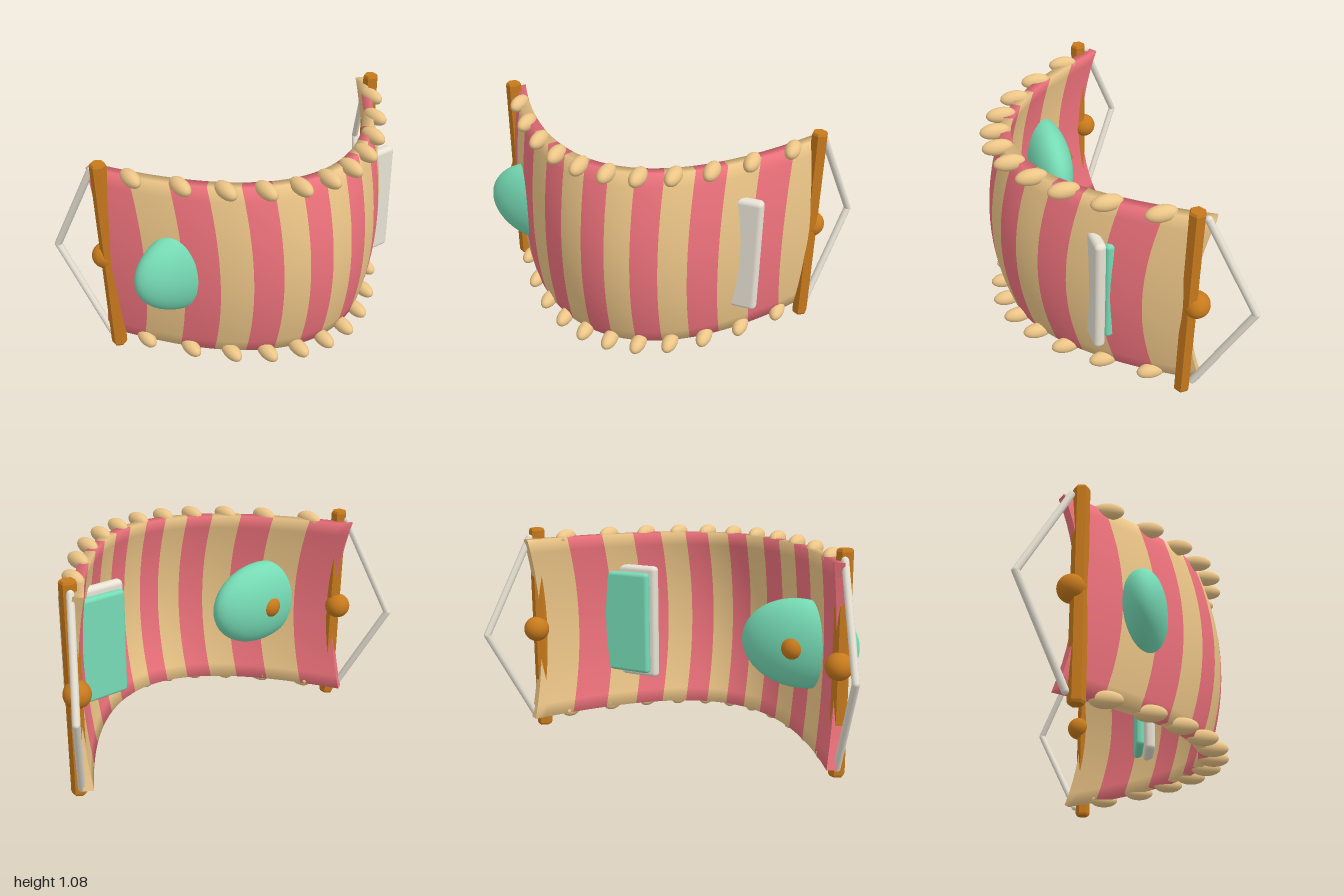
import * as THREE from 'three';
import { RoundedBoxGeometry } from 'three/addons/geometries/RoundedBoxGeometry.js';

const RED = 0xee727c, TAN = 0xecc587, TEAL = 0x76dbb5, WOOD = 0xc87a1c, CREAM = 0xe8e2d4;
const MID = 0.545; // mid height

export function createModel() {
  const model = new THREE.Group();
  const mat = (color, extra = {}) => new THREE.MeshStandardMaterial({ color, ...extra });
  const add = (name, geometry, material, x = 0, y = 0, z = 0) => {
    const mesh = new THREE.Mesh(geometry, material);
    mesh.name = name;
    mesh.position.set(x, y, z);
    model.add(mesh);
    return mesh;
  };
  const wood = mat(WOOD), tan = mat(TAN), teal = mat(TEAL), cream = mat(CREAM);

  // Striped cloth: a thick sheet, parabolic along x and gently bulged in y
  const STRIPES = 14, PER = 4, COLS = STRIPES * PER, ROWS = 14;
  const HALF = 0.84, THICK = 0.025, RING = 2 * (ROWS + 1);
  const positions = [];
  for (let i = 0; i <= COLS; i++) {
    const x = -HALF + (2 * HALF * i) / COLS;
    const len = Math.hypot(2 * x, 1);
    for (let k = 0; k < RING; k++) {
      const front = k <= ROWS;
      const v = -1 + (2 * (front ? k : RING - 1 - k)) / ROWS;
      const offset = (front ? THICK : -THICK) / len;
      positions.push(x + offset * 2 * x, MID + 0.485 * v, 0.46 - x * x - 0.085 * v * v + offset);
    }
  }
  const stripes = [[], []], ends = [];
  const quad = (list, a, b, c, d) => list.push(a, b, c, a, c, d);
  for (let i = 0; i < COLS; i++) {
    const list = stripes[Math.floor(i / PER) % 2];
    for (let k = 0; k < RING; k++) {
      const a = i * RING + k, b = i * RING + ((k + 1) % RING);
      quad(list, a, a + RING, b + RING, b);
    }
  }
  for (let k = 0; k < ROWS; k++) {
    const m = RING - 1 - k, r = COLS * RING;
    quad(ends, k, k + 1, m - 1, m);
    quad(ends, r + k, r + m, r + m - 1, r + k + 1);
  }
  const cloth = new THREE.BufferGeometry();
  cloth.setAttribute('position', new THREE.Float32BufferAttribute(positions, 3));
  cloth.setIndex([...stripes[0], ...stripes[1]]);
  cloth.computeVertexNormals();
  const subset = (index) => cloth.clone().setIndex(index);
  add('clothRedStripes', subset(stripes[0]), mat(RED));
  add('clothTanStripes', subset(stripes[1]), tan);
  const half = ends.length / 2;
  const left = [], right = [];
  for (let i = 0; i < ends.length; i += 3) (ends[i] < RING ? right : left).push(...ends.slice(i, i + 3));
  if (half) {
    add('clothRightEnd', subset(right), mat(RED, { flatShading: true }));
    add('clothLeftEnd', subset(left), mat(TAN, { flatShading: true }));
  }

  // Oval beads along the upper and lower hems
  const bead = new THREE.SphereGeometry(1, 20, 14).scale(0.038, 0.04, 0.077);
  for (let i = -5; i <= 5; i++) {
    const x = i * 0.147;
    for (const y of [0.065, 1.025]) add('hemBead', bead, tan, x, y, 0.43 - 1.01 * x * x);
  }

  // Posts, their knobs and the slanted hanging rods, mirrored
  const post = new THREE.LatheGeometry(
    [[0, 0], [0.034, 0], [0.04, 0.012], [0.04, 1.07], [0.034, 1.082], [0, 1.082]].map(
      (p) => new THREE.Vector2(...p)), 6);
  const postMat = mat(WOOD, { flatShading: true });
  const knob = new THREE.SphereGeometry(0.066, 24, 16);
  const up = new THREE.Vector3(0, 1, 0);
  for (const s of [-1, 1]) {
    add('post', post, postMat, s * 0.835, 0, -0.238);
    add('postKnob', knob, wood, s * 0.838, MID, -0.272);
    for (const t of [-1, 1]) {
      const start = new THREE.Vector3(s * 0.85, MID + t * 0.49, -0.285);
      const apex = new THREE.Vector3(s * 0.983, MID, -0.503);
      const dir = apex.clone().sub(start);
      const rod = add('hangingRod', new THREE.CapsuleGeometry(0.018, dir.length(), 3, 10), cream);
      rod.position.copy(start).lerp(apex, 0.5);
      rod.quaternion.setFromUnitVectors(up, dir.normalize());
    }
  }

  // Oval cushion with a button, pushed through the cloth
  add('cushion', new THREE.SphereGeometry(1, 40, 28).scale(0.308, 0.23, 0.125), teal, -0.535, MID, 0.045);
  add('cushionButton', knob, wood, -0.535, MID, -0.038);

  // Two rounded slabs side by side
  add('creamSlab', new RoundedBoxGeometry(0.355, 0.625, 0.056, 4, 0.024), cream, 0.497, MID, 0.132);
  add('tealSlab', new RoundedBoxGeometry(0.305, 0.56, 0.046, 4, 0.02), teal, 0.497, MID, 0.078);

  return model;
}
